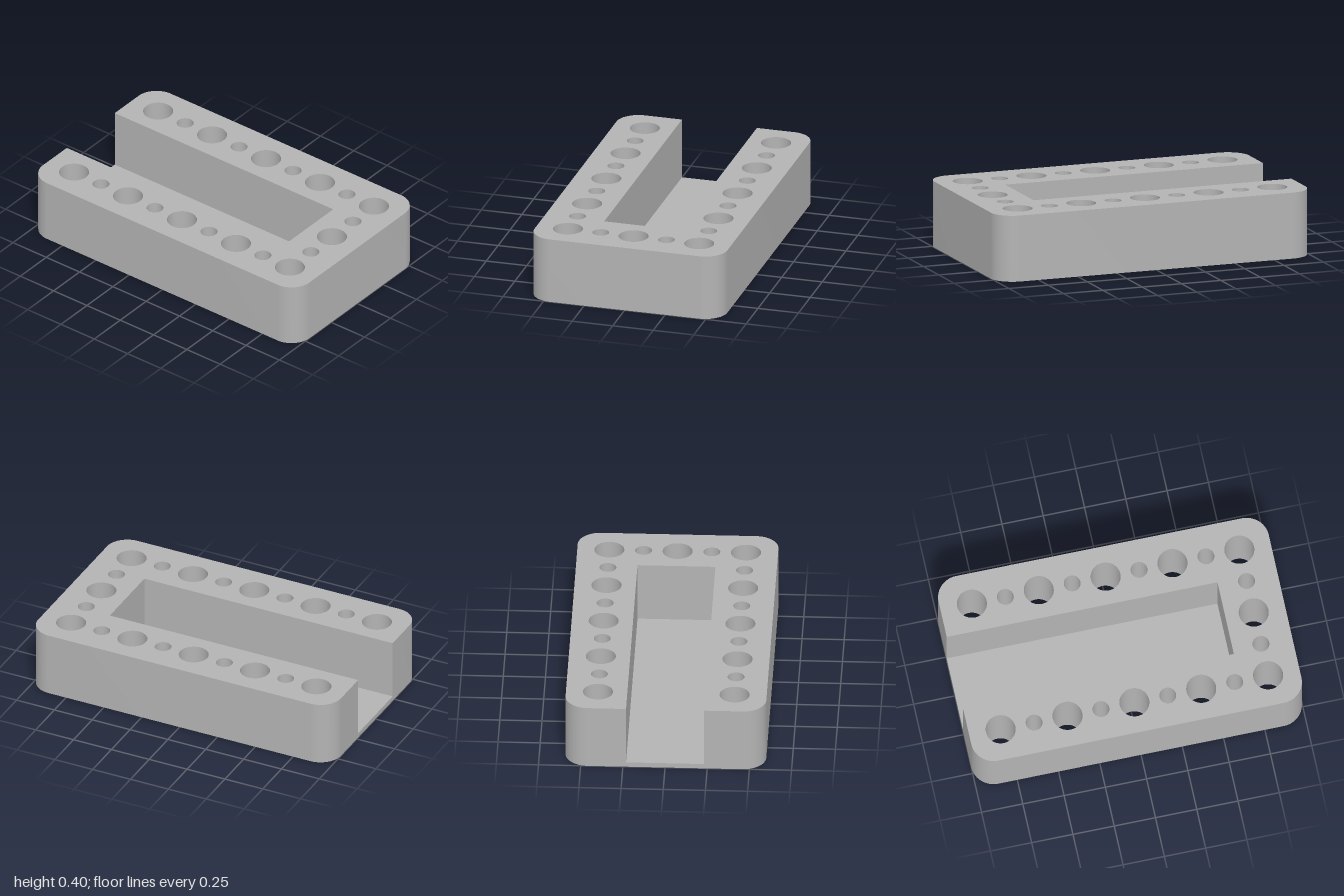
import * as THREE from 'three';
import { toCreasedNormals } from 'three/addons/utils/BufferGeometryUtils.js';

const HALF_W = 0.595, HALF_L = 1, HEIGHT = 0.4, CORNER = 0.135;
const SLOT_W = 0.231, SLOT_END = 0.64, FLOOR = 0.03;
const PITCH = 0.2025, BIG_R = 0.089, SMALL_R = 0.05;

// U-shaped plan, drawn with shape y = -z so the slot opens at the back
function framePlan() {
  const s = new THREE.Shape();
  const x = HALF_W - CORNER, y = HALF_L - CORNER, q = Math.PI / 2;
  s.moveTo(-x, -HALF_L);
  s.absarc(x, -y, CORNER, -q, 0, false);
  s.absarc(x, y, CORNER, 0, q, false);
  s.lineTo(SLOT_W, HALF_L);
  s.lineTo(SLOT_W, -SLOT_END);
  s.lineTo(-SLOT_W, -SLOT_END);
  s.lineTo(-SLOT_W, HALF_L);
  s.absarc(-x, y, CORNER, q, 2 * q, false);
  s.absarc(-x, -y, CORNER, 2 * q, 3 * q, false);

  const hole = (hx, hz, r) => {
    const p = new THREE.Path();
    p.absarc(hx, -hz, r, 0, Math.PI * 2, true);
    s.holes.push(p);
  };
  // Alternating large and small holes down both arms
  for (let i = -4; i <= 4; i++) {
    const r = i % 2 === 0 ? BIG_R : SMALL_R;
    for (const side of [-1, 1]) hole(side * 2 * PITCH, i * PITCH, r);
  }
  // Holes across the front bar
  for (let i = -1; i <= 1; i++) hole(i * PITCH, 4 * PITCH, i === 0 ? BIG_R : SMALL_R);
  return s;
}

export function createModel() {
  const group = new THREE.Group();
  group.name = 'perforatedTray';
  const grey = new THREE.MeshStandardMaterial({ color: 0xb3b3b3 });
  grey.name = 'grey';

  // Perforated frame, full height
  let geo = new THREE.ExtrudeGeometry(framePlan(), { depth: HEIGHT, bevelEnabled: false, curveSegments: 24 });
  geo.rotateX(-Math.PI / 2);
  geo = toCreasedNormals(geo, 0.6);
  const frame = new THREE.Mesh(geo, grey);
  frame.name = 'frame';

  // Thin floor closing the bottom of the slot
  const length = HALF_L + SLOT_END;
  const floor = new THREE.Mesh(new THREE.BoxGeometry(2 * SLOT_W, FLOOR, length), grey);
  floor.position.set(0, FLOOR / 2, (SLOT_END - HALF_L) / 2);
  floor.name = 'slotFloor';

  group.add(frame, floor);
  return group;
}
